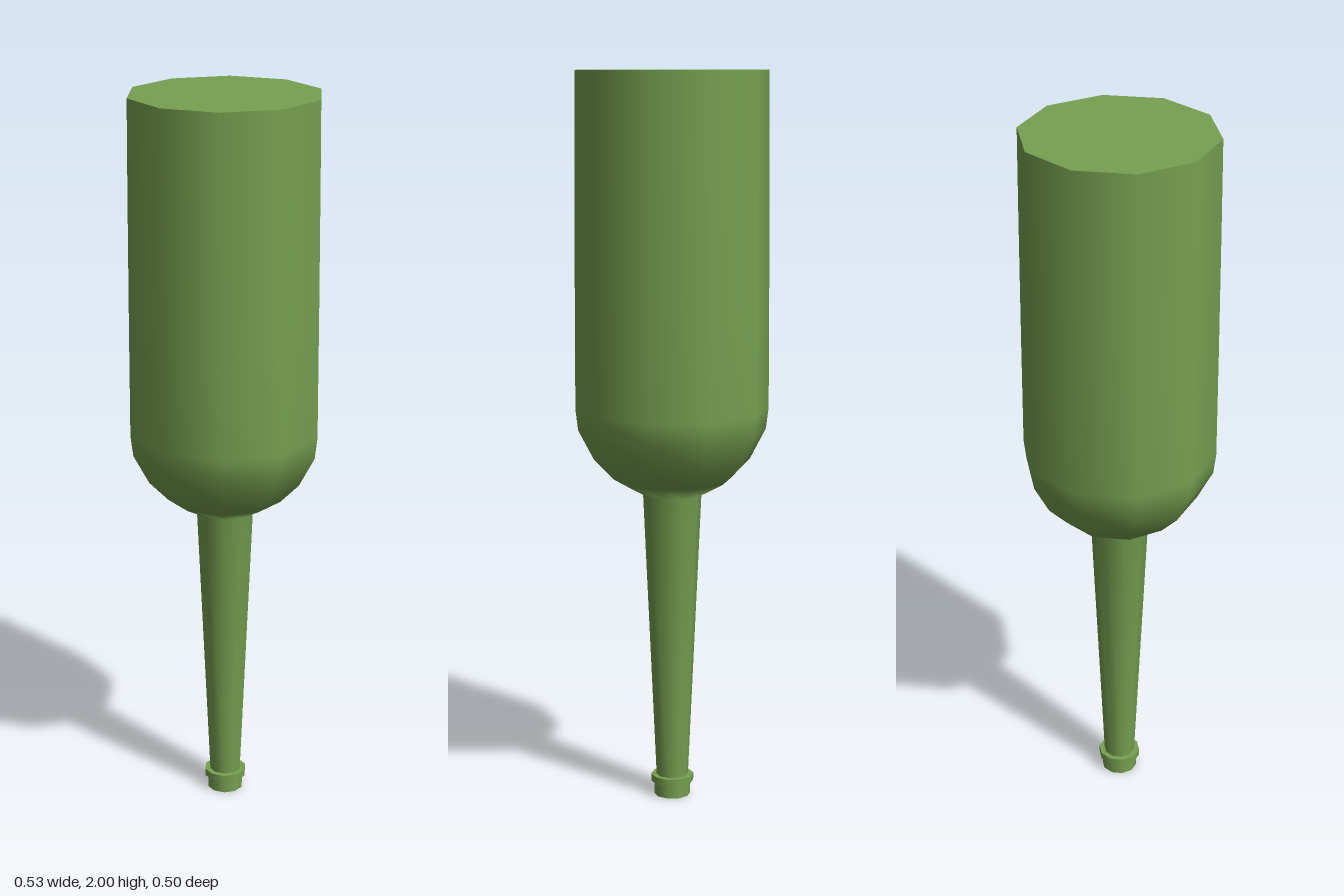
import * as THREE from 'three';

const SIDES = 10;

export function createModel() {
  const model = new THREE.Group();
  model.name = 'upturnedBottle';
  const glass = new THREE.MeshStandardMaterial({ color: 0x76a050 });

  // Ten-sided turned part from [radius, height] pairs, listed upwards, a corner on the x axis
  const turned = (name, profile) => {
    const points = profile.map(([r, y]) => new THREE.Vector2(r, y));
    const mesh = new THREE.Mesh(new THREE.LatheGeometry(points, SIDES, Math.PI / 2), glass);
    mesh.name = name;
    model.add(mesh);
  };

  // Mouth: flat end and short lip
  turned('mouthEnd', [[0, 0], [0.05, 0]]);
  turned('lip', [[0.05, 0], [0.05, 0.038]]);

  // Collar ring around the mouth
  turned('collarUnderside', [[0.05, 0.038], [0.059, 0.038]]);
  turned('collarRim', [[0.059, 0.038], [0.059, 0.058]]);
  turned('collarTop', [[0.059, 0.058], [0.044, 0.058]]);

  // Tapered neck, rounded shoulder and long, nearly straight body
  turned('neckAndBody', [
    [0.044, 0.058], [0.08, 0.857],
    [0.16, 0.9], [0.213, 0.955], [0.256, 1.037], [0.263, 1.095],
    [0.262, 1.4], [0.26, 1.75], [0.258, 2],
  ]);

  // Flat base of the bottle, facing up
  turned('base', [[0.258, 2], [0, 2]]);

  return model;
}
